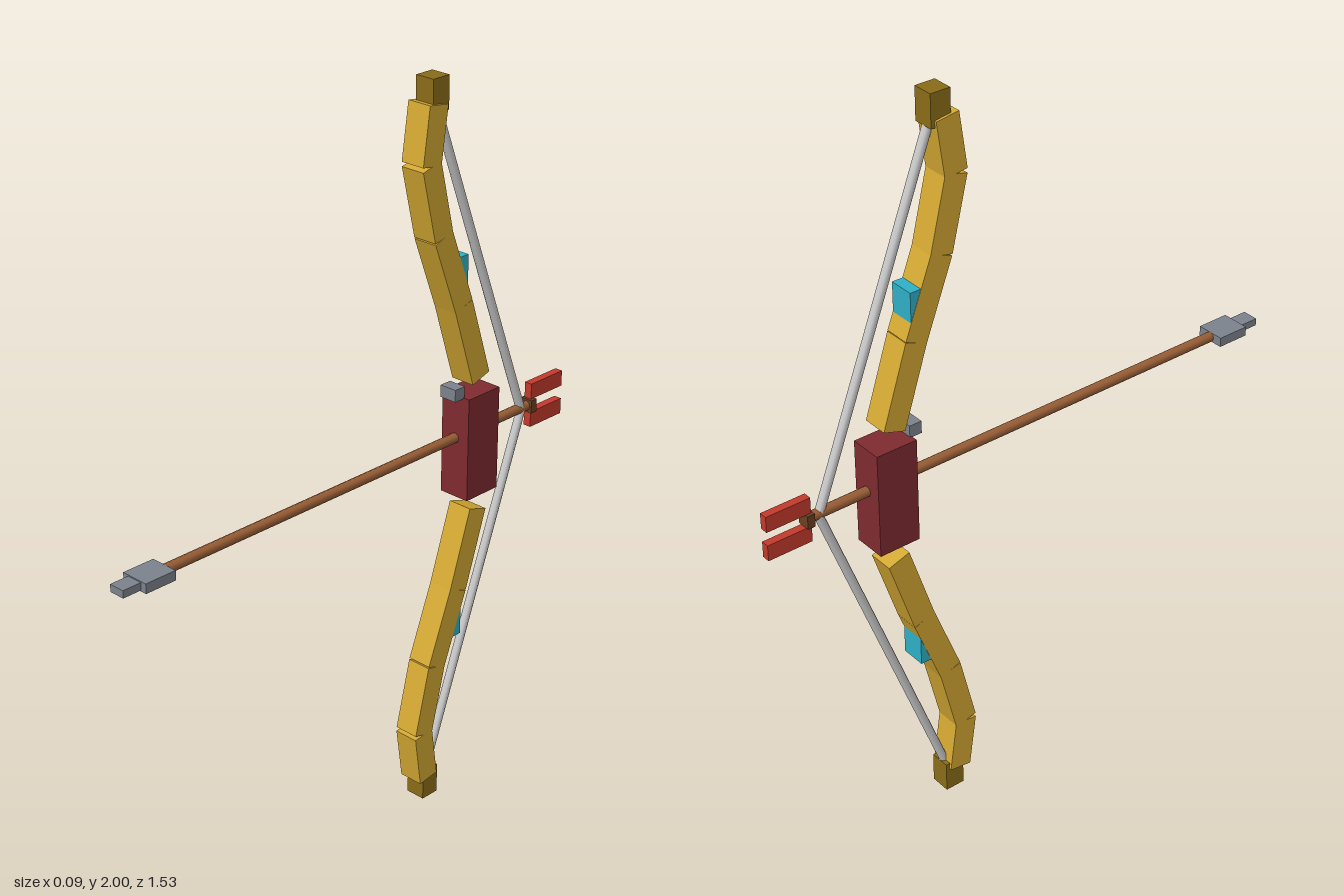
import * as THREE from 'three';

const mat = (name, color) => {
  const m = new THREE.MeshStandardMaterial({ color });
  m.name = name;
  return m;
};

export function createModel() {
  const gold = mat('gold limb', 0xd4a832);
  const olive = mat('dark gold tip', 0x8b6c18);
  const maroon = mat('maroon grip', 0x7f2b30);
  const wood = mat('brown shaft', 0x9a5f36);
  const darkWood = mat('dark brown nock', 0x6b4020);
  const steel = mat('grey metal', 0x7d838d);
  const cord = mat('light grey string', 0xcacaca);
  const red = mat('red feather', 0xc43a2c);
  const blue = mat('turquoise gem', 0x2fb0c8);

  const model = new THREE.Group();
  model.name = 'bowAndArrow';

  const add = (name, geometry, material, y, z) => {
    const mesh = new THREE.Mesh(geometry, material);
    mesh.name = name;
    mesh.position.set(0, y, z);
    model.add(mesh);
    return mesh;
  };
  const box = (name, material, width, [y0, y1], [z0, z1]) =>
    add(name, new THREE.BoxGeometry(width, y1 - y0, z1 - z0), material, (y0 + y1) / 2, (z0 + z1) / 2);

  // Lays a y-aligned geometry along the line between two [y, z] points
  const span = (name, makeGeometry, material, [y0, z0], [y1, z1]) => {
    const mesh = add(name, makeGeometry(Math.hypot(y1 - y0, z1 - z0)), material, (y0 + y1) / 2, (z0 + z1) / 2);
    mesh.rotation.x = Math.atan2(z1 - z0, y1 - y0);
    return mesh;
  };

  const limbBox = (length) => new THREE.BoxGeometry(0.07, length, 0.064);
  const stringRod = (length) => new THREE.CylinderGeometry(0.012, 0.012, length, 8);

  // Bent limbs, tips, gems and string, mirrored about mid height
  const limbPath = [[0.185, -0.415], [0.4, -0.345], [0.6, -0.268], [0.79, -0.222], [0.937, -0.243]];
  for (const [side, s] of [['upper', 1], ['lower', -1]]) {
    const range = (a, b) => [1 + s * a, 1 + s * b].sort((p, q) => p - q);
    for (let i = 0; i < limbPath.length - 1; i++) {
      const [a, b] = [limbPath[i], limbPath[i + 1]].map(([h, z]) => [1 + s * h, z]);
      span(`${side}LimbSegment${i + 1}`, limbBox, gold, a, b);
    }
    box(`${side}Tip`, olive, 0.056, range(0.915, 1), [-0.284, -0.229]);
    box(`${side}Gem`, blue, 0.068, range(0.455, 0.534), [-0.358, -0.318]);
    span(`${side}String`, stringRod, cord, [1.02, -0.615], [1 + s * 0.925, -0.268]);
  }

  // Grip and arrow rest
  box('grip', maroon, 0.09, [0.86, 1.145], [-0.475, -0.36]);
  box('arrowRest', steel, 0.05, [1.142, 1.175], [-0.365, -0.33]);

  // Arrow
  const shaft = add('arrowShaft', new THREE.CylinderGeometry(0.0135, 0.0135, 1.28, 8), wood, 1.026, -0.01);
  shaft.rotation.x = Math.PI / 2;
  box('arrowHead', steel, 0.078, [1.013, 1.039], [0.622, 0.712]);
  box('arrowPoint', steel, 0.044, [1.016, 1.036], [0.712, 0.765]);
  box('nock', darkWood, 0.036, [1.008, 1.044], [-0.657, -0.636]);
  box('upperFeather', red, 0.022, [1.045, 1.088], [-0.765, -0.642]);
  box('lowerFeather', red, 0.022, [0.965, 1.008], [-0.765, -0.642]);

  return model;
}
